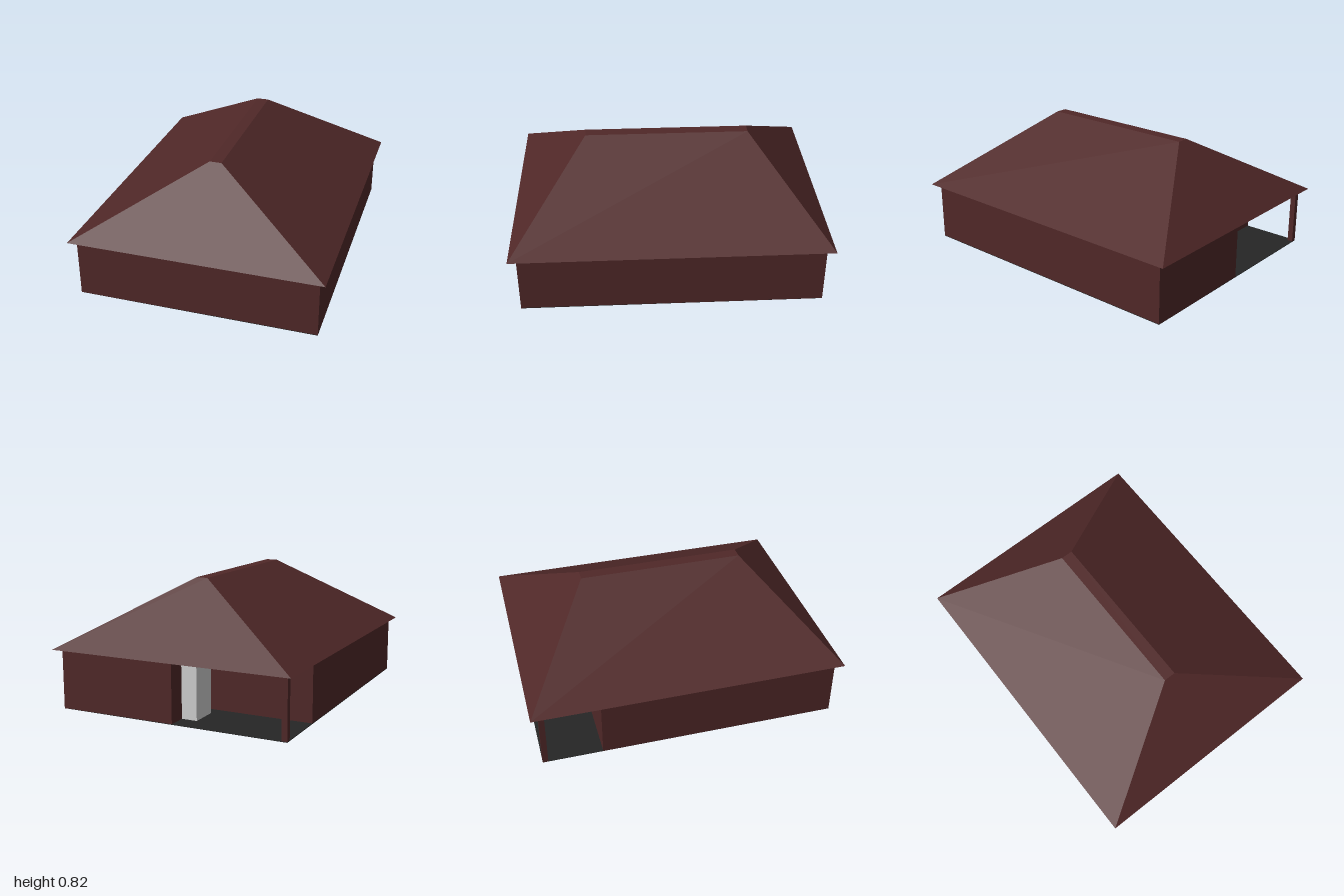
import * as THREE from 'three';

export function createModel() {
  const house = new THREE.Group();
  house.name = 'house';

  const material = (name, color) => {
    const m = new THREE.MeshStandardMaterial({ color });
    m.name = name;
    return m;
  };
  const red = material('dark red', 0x502828);
  const charcoal = material('charcoal', 0x262626);
  const grey = material('light grey', 0xd0d0d0);

  // Box given by its lower and upper limits on each axis
  function block(name, mat, x0, x1, y0, y1, z0, z1) {
    const mesh = new THREE.Mesh(new THREE.BoxGeometry(x1 - x0, y1 - y0, z1 - z0), mat);
    mesh.position.set((x0 + x1) / 2, (y0 + y1) / 2, (z0 + z1) / 2);
    mesh.name = name;
    house.add(mesh);
    return mesh;
  }

  const W = 0.76, D = 0.95, EAVE = 0.385, T = 0.035;
  const FLOOR_BASE = 0.002, FLOOR_TOP = 0.006;
  const PORCH_X = -0.02, PORCH_Z = -0.57;

  // Floor slab, running out under the porch
  block('floor', charcoal, -W, W, FLOOR_BASE, FLOOR_TOP, -D, D);

  // Outer walls: [name, x0, x1, z0, z1]; the back right corner is left open as a porch
  const walls = [
    ['frontWall', -W, W, D - T, D],
    ['leftWall', W - T, W, -D, D - T],
    ['rightWall', -W, -W + T, PORCH_Z, D - T],
    ['backWall', PORCH_X, W - T, -D, -D + T],
    ['porchSideWall', PORCH_X, PORCH_X + T, -D + T, PORCH_Z + T],
    ['porchBackWall', -W + T, PORCH_X, PORCH_Z, PORCH_Z + T],
  ];
  for (const [name, x0, x1, z0, z1] of walls) {
    block(name, red, x0, x1, FLOOR_BASE + 0.001, EAVE, z0, z1);
  }

  // Porch post
  block('porchPost', red, -W, -W + T, FLOOR_BASE + 0.001, EAVE, -D, -D + T);

  // Thin room partitions
  const partitions = [
    [0.08, 0.65, 0.566, 0.574],
    [0.36, 0.49, 0.21, 0.218],
    [0.36, 0.368, 0.218, 0.42],
    [-0.012, -0.004, 0.17, 0.45],
  ];
  for (const [x0, x1, z0, z1] of partitions) {
    block('partition', red, x0, x1, 0, EAVE, z0, z1);
  }

  // Square columns: centre and base height
  const half = 0.092;
  for (const [x, z, base] of [[-0.03, -0.738, FLOOR_TOP], [0.14, 0.21, 0], [-0.03, 0.77, 0]]) {
    block('column', grey, x - half, x + half, base, EAVE, z - half, z + half);
  }

  // Hipped roof: a box whose top is drawn in to a narrow flat ridge
  const roof = block('roof', red, -0.8, 0.8, EAVE, 0.825, -1, 1);
  const p = roof.geometry.attributes.position;
  for (let i = 0; i < p.count; i++) {
    if (p.getY(i) > 0) {
      p.setX(i, Math.sign(p.getX(i)) * 0.038);
      p.setZ(i, Math.sign(p.getZ(i)) * 0.528);
    }
  }
  roof.geometry.computeVertexNormals();

  return house;
}
